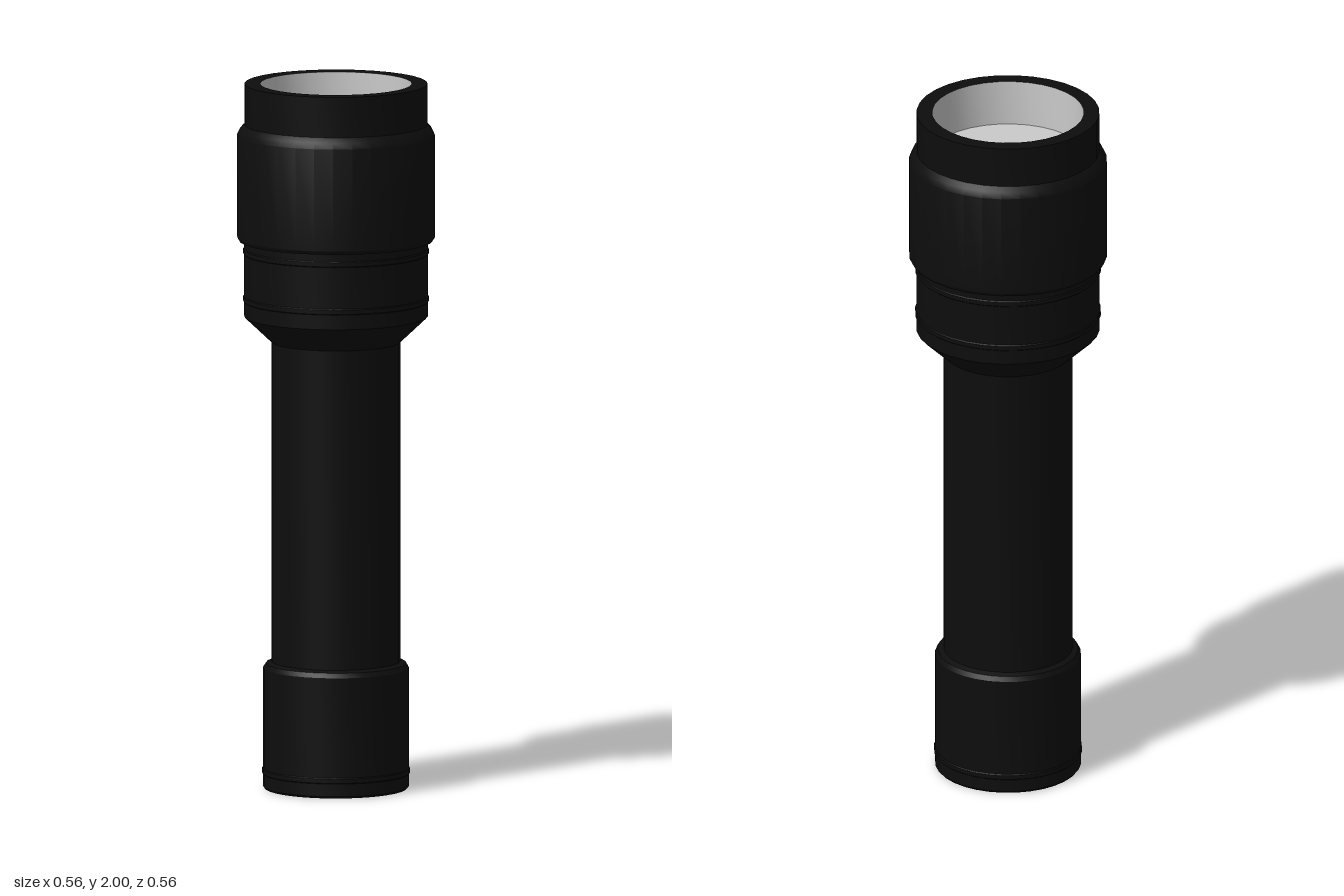
import * as THREE from 'three';
import { toCreasedNormals } from 'three/addons/utils/BufferGeometryUtils.js';

const SIDES = 32;

const black = new THREE.MeshStandardMaterial({ color: 0x0d0d0d });
black.name = 'black casing';
const silver = new THREE.MeshStandardMaterial({ color: 0xcacaca });
silver.name = 'pale silver';

// Turned part from a [radius, height] profile, with sharp machined edges
function turned(name, profile, material) {
  const points = profile.map(([r, y]) => new THREE.Vector2(r, y));
  const geometry = toCreasedNormals(new THREE.LatheGeometry(points, SIDES), 0.45);
  const mesh = new THREE.Mesh(geometry, material);
  mesh.name = name;
  return mesh;
}

// Thin raised band around the casing
function band(name, radius, y) {
  return turned(name, [
    [radius - 0.004, y - 0.012], [radius + 0.003, y - 0.006],
    [radius + 0.003, y + 0.006], [radius - 0.004, y + 0.012],
  ], black);
}

export function createModel() {
  const torch = new THREE.Group();
  torch.name = 'flashlight';

  // Tail cap with a recessed base
  torch.add(turned('tailCap', [
    [0, 0.05], [0.165, 0.05], [0.175, 0], [0.2, 0], [0.205, 0.006],
    [0.205, 0.342], [0.197, 0.355], [0.178, 0.362],
  ], black));
  torch.add(band('tailBand', 0.205, 0.05));

  // Handle tube
  torch.add(turned('handle', [[0.181, 0.34], [0.181, 1.275]], black));

  // Flared neck
  torch.add(turned('neck', [
    [0.178, 1.265], [0.186, 1.272], [0.258, 1.34], [0.258, 1.57],
  ], black));
  for (const y of [1.39, 1.525]) torch.add(band('neckBand', 0.258, y));

  // Wide head collar and the rim around the lens
  torch.add(turned('headCollar', [
    [0.25, 1.555], [0.272, 1.555], [0.278, 1.565], [0.278, 1.855],
    [0.27, 1.872], [0.257, 1.885],
  ], black));
  torch.add(turned('headRim', [
    [0.257, 1.87], [0.257, 2], [0.213, 2],
  ], black));

  // Bright inner wall and lens
  torch.add(turned('reflectorWall', [[0.213, 2], [0.213, 1.87]], silver));
  torch.add(turned('lens', [[0.213, 1.87], [0, 1.87]], silver));

  return torch;
}
